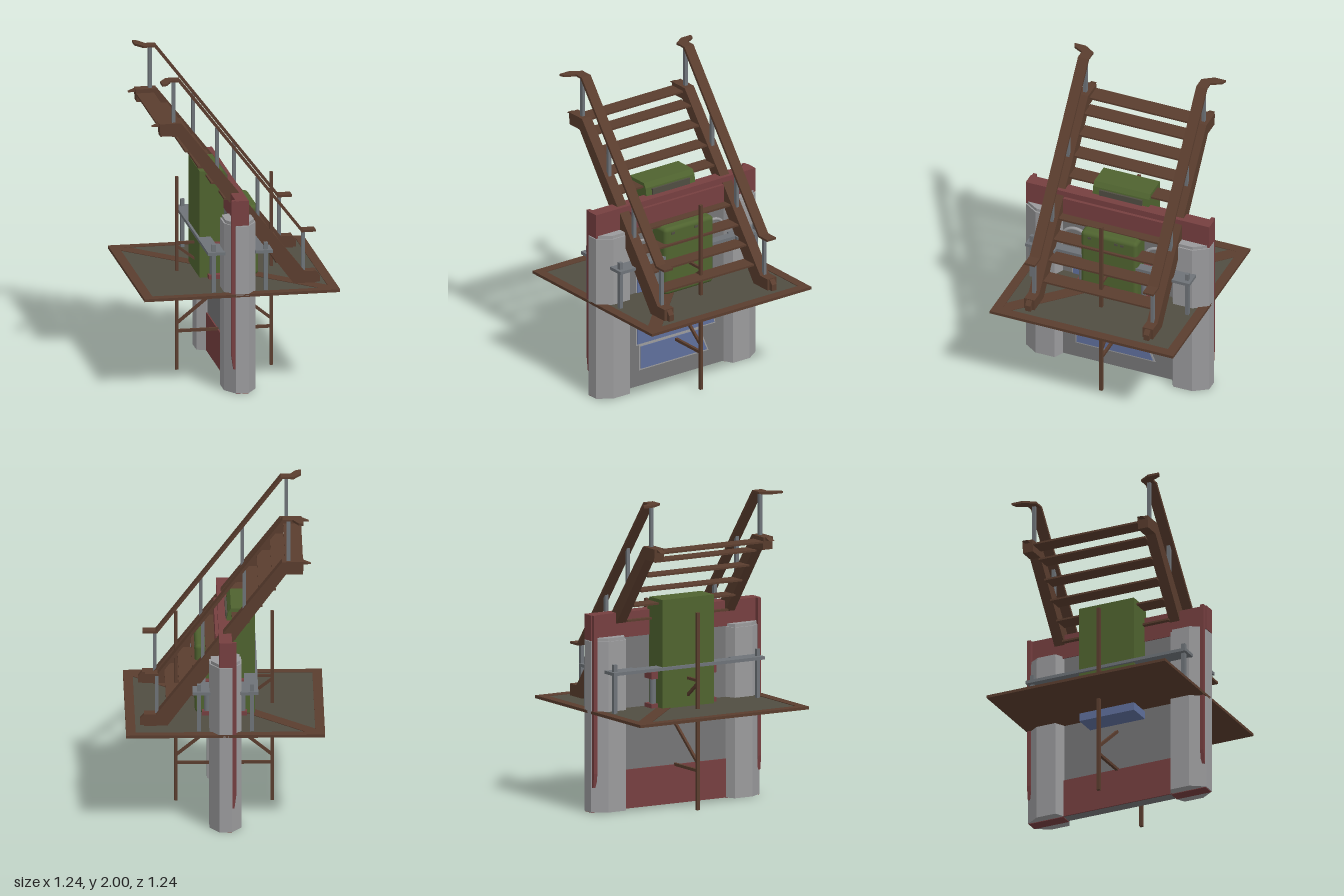
import * as THREE from 'three';
import { RoundedBoxGeometry } from 'three/addons/geometries/RoundedBoxGeometry.js';

export function createModel() {
  const model = new THREE.Group();
  model.name = 'gateWithStairs';

  const mat = (name, color) => {
    const m = new THREE.MeshStandardMaterial({ color });
    m.name = name;
    return m;
  };
  const wood = mat('brownWood', 0x5a3d2e);
  const deckMat = mat('darkDeck', 0x504d42);
  const red = mat('darkRed', 0x763f40);
  const green = mat('olive', 0x4f632f);
  const stone = mat('lightGrey', 0x9a9a9c);
  const wallMat = mat('midGrey', 0x757576);
  const metal = mat('steel', 0x6e7378);
  const blue = mat('blue', 0x5f6f9c);

  const add = (name, geo, m) => {
    const mesh = new THREE.Mesh(geo, m);
    mesh.name = name;
    model.add(mesh);
    return mesh;
  };
  // Box from its limits on each axis
  const box = (name, m, x0, x1, y0, y1, z0, z1) => {
    const g = new THREE.BoxGeometry(x1 - x0, y1 - y0, z1 - z0);
    g.translate((x0 + x1) / 2, (y0 + y1) / 2, (z0 + z1) / 2);
    return add(name, g, m);
  };
  const extrude = (pts, depth) => new THREE.ExtrudeGeometry(
    new THREE.Shape(pts.map(p => new THREE.Vector2(p[0], p[1]))), { depth, bevelEnabled: false });
  // Profile in x,y pushed along z
  const profile = (name, m, pts, z0, z1) =>
    add(name, extrude(pts, z1 - z0).translate(0, 0, z0), m);
  // Outline in x,z raised along y
  const plan = (name, m, pts, y0, y1) =>
    add(name, extrude(pts.map(p => [p[0], -p[1]]), y1 - y0).rotateX(-Math.PI / 2).translate(0, y0, 0), m);
  // Outline in z,y pushed along x
  const side = (name, m, pts, x0, x1) =>
    add(name, extrude(pts.map(p => [-p[0], p[1]]), x1 - x0).rotateY(Math.PI / 2).translate(x0, 0, 0), m);
  // Square bar between two points in the x,y plane
  const bar = (name, m, ax, ay, bx, by, t, z0, z1) => {
    const l = Math.hypot(bx - ax, by - ay);
    const g = new THREE.BoxGeometry(l, t, z1 - z0);
    g.rotateZ(Math.atan2(by - ay, bx - ax));
    g.translate((ax + bx) / 2, (ay + by) / 2, (z0 + z1) / 2);
    return add(name, g, m);
  };

  // Deck with its raised border, diagonal board and dark panels
  box('deckBase', wood, -0.62, 0.62, 0.627, 0.637, -0.62, 0.62);
  for (const s of [-1, 1]) {
    box('deckBorder', wood, -0.62, 0.62, 0.637, 0.645, s * 0.59 - 0.03, s * 0.59 + 0.03);
    box('deckBorder', wood, s * 0.59 - 0.03, s * 0.59 + 0.03, 0.637, 0.645, -0.56, 0.56);
    plan('deckPanel', deckMat, [[s * 0.56, s * -0.56], [s * 0.56, s * 0.5], [s * -0.5, s * -0.56]], 0.637, 0.641);
  }
  plan('diagonalBoard', wood, [[-0.56, -0.56], [-0.5, -0.56], [0.56, 0.5], [0.56, 0.56], [0.5, 0.56], [-0.56, -0.5]], 0.637, 0.644);

  // Gate wall and lintel
  box('gateWall', wallMat, -0.035, 0.035, 0.004, 1.09, -0.39, 0.39);
  box('lintel', red, -0.04, 0.04, 1.09, 1.25, -0.62, 0.62);
  box('lintelFace', red, 0.04, 0.06, 1.09, 1.21, -0.36, 0.36);
  box('rearLowerPanel', red, -0.043, -0.035, 0.004, 0.25, -0.38, 0.38);

  // Pillars: faceted posts with a slightly sloping cap
  for (const s of [-1, 1]) {
    const ring = [[0.04, 0.62], [0.1, 0.53], [0.1, 0.4], [0.04, 0.37], [-0.04, 0.37], [-0.1, 0.4], [-0.1, 0.53], [-0.04, 0.62]]
      .map(p => [p[0], p[1] * s]);
    plan('pillar', stone, ring, 0.004, 1.085);
    plan('pillarCap', stone, ring.map(p => [p[0] * 0.9, (p[1] - s * 0.495) * 0.94 + s * 0.495]), 1.085, 1.105);
    box('pillarFoot', red, -0.04, 0.04, 0, 0.006, s * 0.495 - 0.12, s * 0.495 + 0.12);
    profile('redEdge', red, [[-0.055, 0.16], [-0.04, 0.16], [-0.04, 1.25], [-0.067, 1.25], [-0.067, 0.25]],
      s * 0.602 - 0.012, s * 0.602 + 0.012);
    // Arched mouldings beside the engine housing
    const arch = new THREE.TorusGeometry(0.08, 0.012, 8, 20, Math.PI);
    arch.scale(1, 0.8, 1).rotateY(Math.PI / 2).translate(0.05, 0.93, s * 0.28);
    add('archMoulding', arch, stone);
  }

  // Blue panels with grey surrounds on the stair side
  side('upperPanelFrame', stone, [[0.31, 0.28], [-0.31, 0.28], [-0.2, 0.77], [0.31, 0.77]], 0.035, 0.038);
  side('upperPanel', blue, [[0.3, 0.29], [-0.298, 0.29], [-0.195, 0.76], [0.3, 0.76]], 0.035, 0.043);
  box('panelDivider', wallMat, 0.035, 0.047, 0.535, 0.555, -0.24, 0.3);
  side('lowerPanelFrame', stone, [[0.285, 0.11], [-0.255, 0.11], [-0.185, 0.28], [0.285, 0.28]], 0.035, 0.04);
  side('lowerPanel', blue, [[0.275, 0.12], [-0.24, 0.12], [-0.175, 0.27], [0.275, 0.27]], 0.035, 0.044);
  add('slotPanel', new RoundedBoxGeometry(0.014, 0.14, 0.024, 2, 0.006).translate(0.04, 0.55, -0.292), blue);
  box('hangingPlate', stone, 0.035, 0.095, 0.4, 0.565, -0.145, 0.145);

  // Blue tray hung under the deck
  box('tray', blue, -0.187, 0.187, 0.56, 0.612, -0.19, 0.19);
  box('trayNeck', metal, -0.14, 0.14, 0.612, 0.628, -0.15, 0.15);

  // Green housings on both sides of the gate
  profile('tallHousing', green, [[-0.19, 0.64], [-0.036, 0.64], [-0.01, 1.24], [-0.02, 1.3], [-0.04, 1.33], [-0.19, 1.33]], -0.19, 0.19);
  box('housingInset', deckMat, -0.02, -0.006, 1.24, 1.29, -0.145, 0.145);
  add('lowHousing', new RoundedBoxGeometry(0.15, 0.45, 0.38, 3, 0.025).translate(0.11, 0.865, 0), green);
  for (const z of [0.13, -0.05, -0.09])
    box('housingLatch', deckMat, 0.183, 0.188, 1.045, 1.06, z - 0.012, z + 0.012);

  // Red clamps with steel rods between them
  for (const sx of [-1, 1]) for (const sz of [-1, 1]) {
    const x = sx * 0.1, z = sz * 0.21;
    box('clamp', red, x - 0.04, x + 0.04, 0.825, 0.87, z - 0.028, z + 0.028);
    box('clamp', red, x - 0.04, x + 0.04, 0.64, 0.667, z - 0.028, z + 0.028);
    add('clampRod', new THREE.CylinderGeometry(0.02, 0.02, 0.18, 10).translate(x + sx * 0.01, 0.75, z), metal);
    // Rail posts
    box('railPost', metal, sx * 0.165 - 0.012, sx * 0.165 + 0.012, 0.64, 0.95, sz * 0.525 - 0.012, sz * 0.525 + 0.012);
    box('railEnd', metal, sx * 0.15 - 0.055, sx * 0.15 + 0.055, 0.885, 0.905, sz * 0.455 - 0.1, sz * 0.455 + 0.1);
  }
  box('rearRail', metal, -0.205, -0.12, 0.885, 0.905, -0.36, 0.36);
  box('frontRail', metal, 0.12, 0.18, 0.885, 0.905, -0.36, 0.36);

  // Thin wooden masts with cross bars and braces
  for (const s of [-1, 1]) {
    box('mast', wood, s * 0.3 - 0.01, s * 0.3 + 0.01, 0, 1.25, -0.01, 0.01);
    bar('upperArm', wood, s * 0.3, 0.82, s * 0.17, 0.82, 0.016, -0.008, 0.008);
    bar('upperBrace', wood, s * 0.3, 0.8, s * 0.17, 0.7, 0.016, -0.008, 0.008);
    bar('lowerBrace', wood, s * 0.3, 0.3, s * 0.04, 0.51, 0.018, -0.008, 0.008);
  }
  bar('crossBar', wood, -0.3, 0.25, 0.3, 0.25, 0.018, -0.009, 0.009);

  // Stair sides, handrails and their posts
  for (const s of [-1, 1]) {
    const z0 = s * 0.4 - 0.035, z1 = s * 0.4 + 0.035;
    profile('stringer', wood, [[-0.485, 1.64], [-0.38, 1.64], [0.36, 0.645], [0.505, 0.645], [0.505, 0.72],
      [0.43, 0.72], [-0.355, 1.72], [-0.49, 1.72]], z0, z1);
    profile('stringerToe', wood, [[0.5, 0.645], [0.53, 0.645], [0.53, 0.685], [0.5, 0.72]], s * 0.4 - 0.018, s * 0.4 + 0.018);
    profile('stringerTip', wood, [[-0.535, 1.7], [-0.485, 1.7], [-0.485, 1.72]], s * 0.4 - 0.018, s * 0.4 + 0.018);
    profile('handrail', wood, [[-0.44, 1.988], [-0.372, 1.988], [0.41, 0.973], [0.5, 0.973], [0.5, 0.987],
      [0.42, 0.987], [-0.358, 2], [-0.44, 2]], z0, z1);
    plan('handrailFlare', wood, [[-0.42, 0.365], [-0.42, 0.435], [-0.455, 0.5], [-0.487, 0.512], [-0.487, 0.435], [-0.44, 0.365]]
      .map(p => [p[0], p[1] * s]), 1.986, 2);
    for (const [x, y0, y1] of [[-0.395, 1.71, 1.99], [-0.12, 1.4, 1.67], [0.138, 1.07, 1.335], [0.425, 0.71, 0.977]])
      box('handrailPost', metal, x - 0.011, x + 0.011, y0, y1, s * 0.4 - 0.011, s * 0.4 + 0.011);
  }

  // Treads, then the top landing board
  for (let i = 0; i < 9; i++) {
    const y = 0.77 + i * 0.1065, x = 0.367 - i * 0.0822;
    box('tread', wood, x - 0.108, x, y - 0.006, y + 0.006, -0.37, 0.37);
  }
  box('topTread', wood, -0.487, -0.375, 1.683, 1.695, -0.37, 0.37);

  return model;
}
